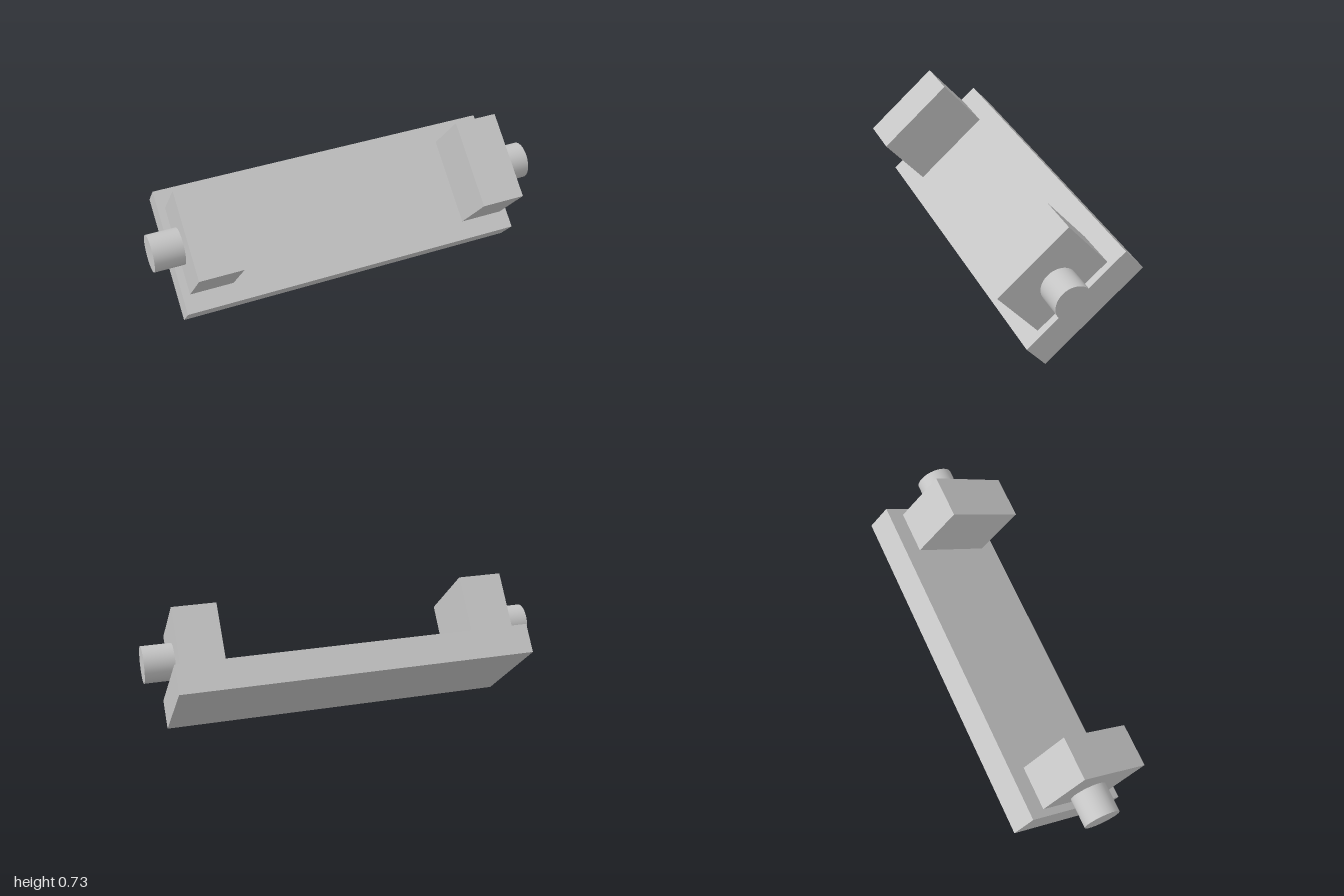
import * as THREE from 'three';

export function createModel() {
  const model = new THREE.Group();
  const grey = new THREE.MeshStandardMaterial({ color: 0xc4c4c4 });
  grey.name = 'light grey';

  const add = (name, geometry, x, y, z) => {
    const mesh = new THREE.Mesh(geometry, grey);
    mesh.name = name;
    mesh.position.set(x, y, z);
    bracket.add(mesh);
    return mesh;
  };

  // The whole bracket is turned about the vertical and tilted forward
  const bracket = new THREE.Group();
  bracket.name = 'bracket';
  bracket.rotation.set(THREE.MathUtils.degToRad(40), THREE.MathUtils.degToRad(25), 0, 'YXZ');
  model.add(bracket);

  const midX = -0.012;
  const midZ = -0.224;

  // Base plate
  add('basePlate', new THREE.BoxGeometry(1.846, 0.155, 0.659), midX, 0.1665, midZ);

  // A block at each end, with a pin pointing outward
  for (const [side, s] of [['left', 1], ['right', -1]]) {
    add(side + 'Block', new THREE.BoxGeometry(0.23, 0.326, 0.464), midX + s * 0.769, 0.407, midZ);
    const pin = add(side + 'Pin', new THREE.CylinderGeometry(0.096, 0.096, 0.161, 48),
      midX + s * 0.9615, 0.357, midZ);
    pin.rotation.z = Math.PI / 2;
  }

  return model;
}
